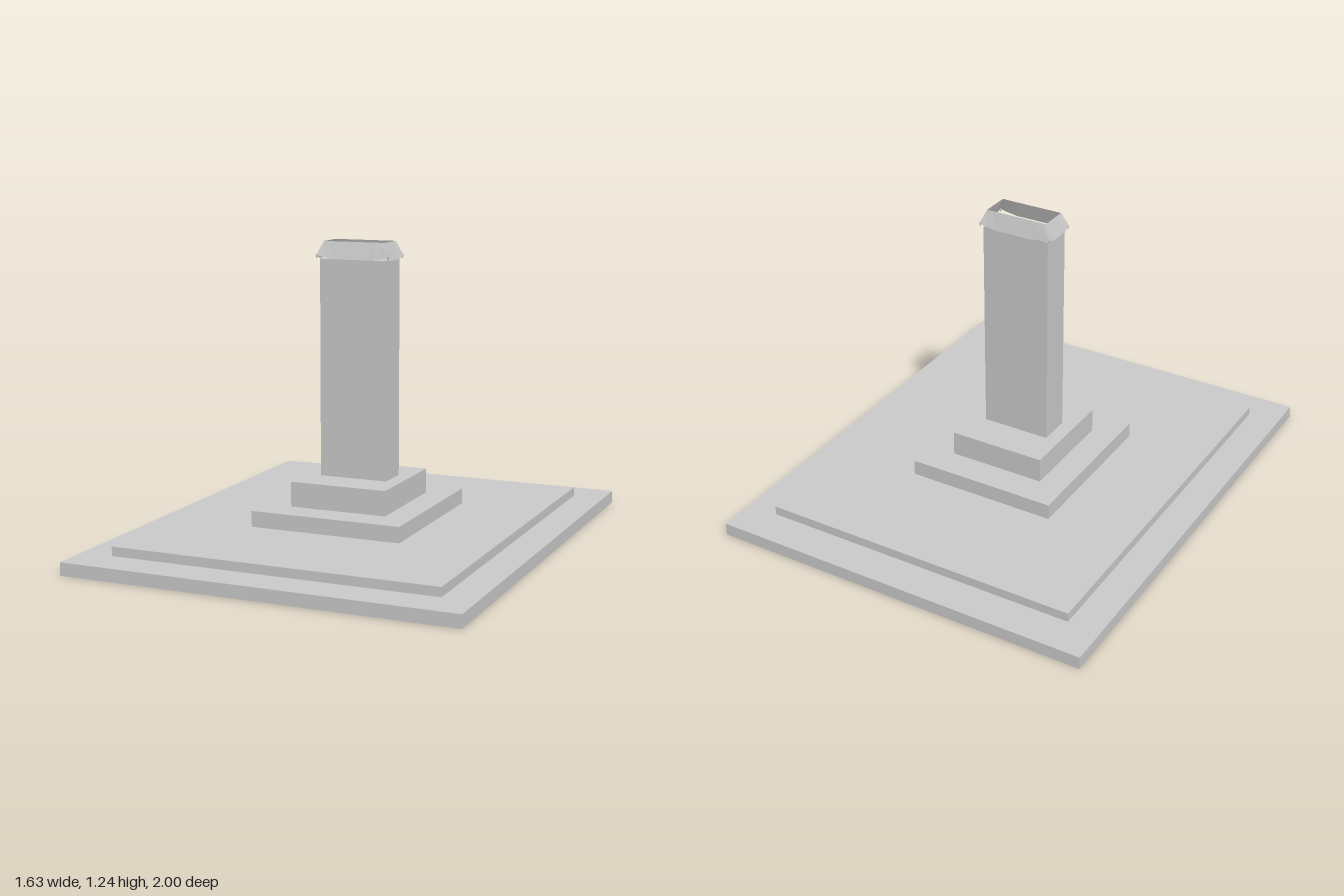
import * as THREE from 'three';

const grey = new THREE.MeshStandardMaterial({ color: 0xcccccc, flatShading: true });
const sheet = new THREE.MeshStandardMaterial({ color: 0xcccccc, flatShading: true, side: THREE.DoubleSide });

// Box given by half width, half depth, bottom and top height
function block(name, hx, hz, y0, y1) {
  const mesh = new THREE.Mesh(new THREE.BoxGeometry(hx * 2, y1 - y0, hz * 2), grey);
  mesh.name = name;
  mesh.position.y = (y0 + y1) / 2;
  return mesh;
}

// Hollow sloping skirt whose lower edge sweeps up towards the corners
function skirtGeometry(top, bottom, yTop, yMid, yCorner) {
  const steps = [-1, -0.8, -0.5, 0.5, 0.8, 1];
  const corners = [[-1, 1], [1, 1], [1, -1], [-1, -1]];
  const positions = [], index = [];
  corners.forEach((a, side) => {
    const b = corners[(side + 1) % 4];
    steps.forEach((s, i) => {
      const t = (s + 1) / 2;
      const x = a[0] + (b[0] - a[0]) * t, z = a[1] + (b[1] - a[1]) * t;
      const lift = Math.max(0, (Math.abs(s) - 0.5) / 0.5) ** 1.3;
      positions.push(x * top[0], yTop, z * top[1]);
      positions.push(x * bottom[0], yMid + (yCorner - yMid) * lift, z * bottom[1]);
      if (i < steps.length - 1) {
        const k = (side * steps.length + i) * 2;
        index.push(k, k + 1, k + 3, k, k + 3, k + 2);
      }
    });
  });
  const geometry = new THREE.BufferGeometry();
  geometry.setAttribute('position', new THREE.Float32BufferAttribute(positions, 3));
  geometry.setIndex(index);
  geometry.computeVertexNormals();
  return geometry;
}

export function createModel() {
  const model = new THREE.Group();
  model.name = 'monument';

  // Stepped base and shaft
  model.add(
    block('basePlatform', 0.817, 1, 0, 0.053),
    block('upperPlatform', 0.682, 0.844, 0.053, 0.091),
    block('lowerPlinth', 0.323, 0.358, 0.091, 0.157),
    block('upperPlinth', 0.208, 0.227, 0.157, 0.261),
    block('pillar', 0.147, 0.068, 0.261, 1.163),
  );

  // Open roof cap with small drop ornaments under its corners
  const cap = new THREE.Group();
  cap.name = 'roofCap';
  const skirt = new THREE.Mesh(skirtGeometry([0.133, 0.06], [0.159, 0.081], 1.235, 1.164, 1.178), sheet);
  skirt.name = 'roofSkirt';
  cap.add(skirt);
  for (const sx of [-1, 1]) {
    for (const sz of [-1, 1]) {
      const drop = new THREE.Mesh(new THREE.ConeGeometry(0.006, 0.017, 4), grey);
      drop.name = 'cornerDrop';
      drop.rotation.x = Math.PI;
      drop.position.set(sx * 0.156, 1.171, sz * 0.078);
      cap.add(drop);
    }
  }
  model.add(cap);
  return model;
}
